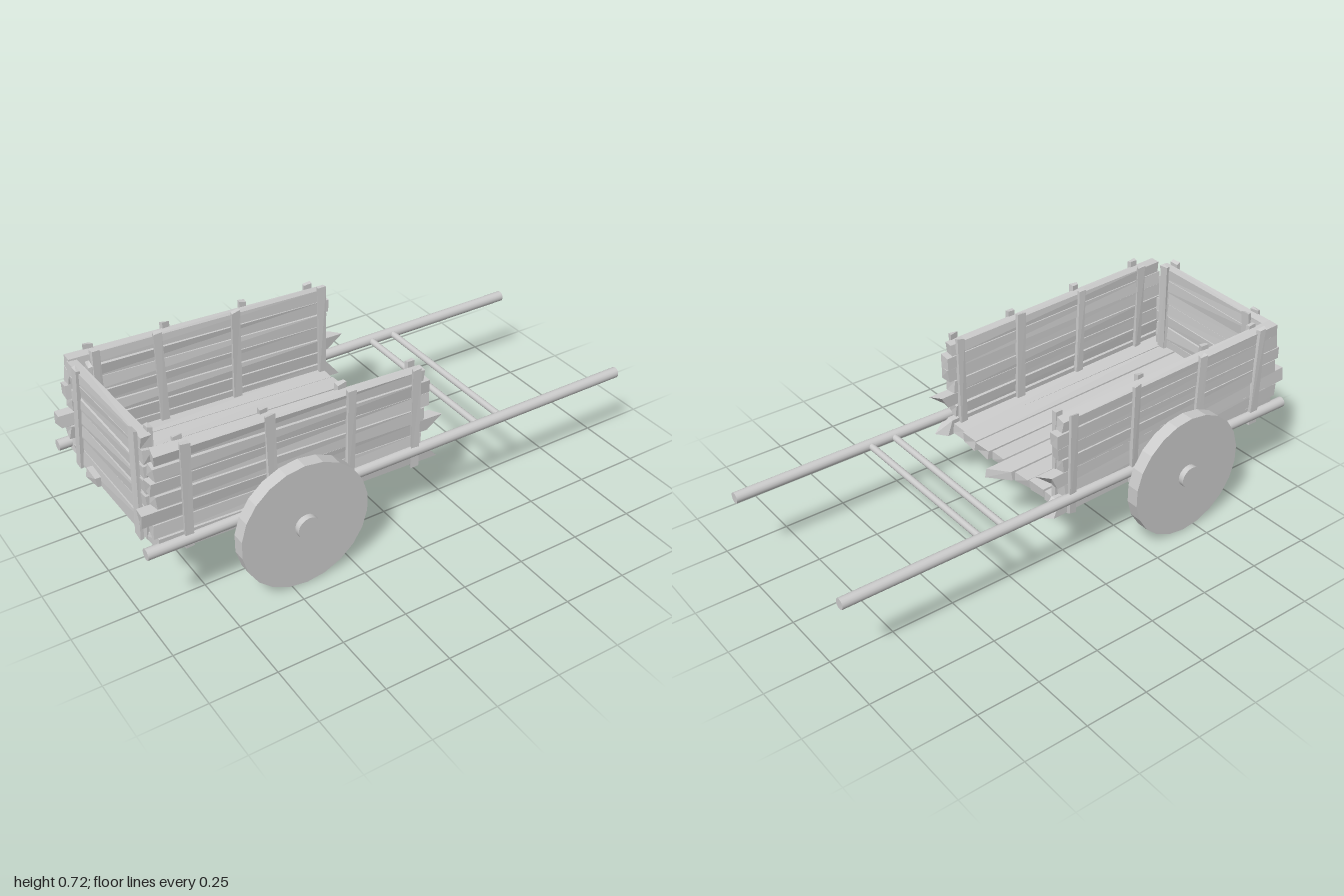
import * as THREE from 'three';

const wood = new THREE.MeshStandardMaterial({ color: 0xcccccc, flatShading: true });
const smooth = new THREE.MeshStandardMaterial({ color: 0xcccccc });

// Small seeded generator, returns -1..1
let seed = 1;
function rnd() {
  seed = (seed * 16807) % 2147483647;
  return (seed / 2147483647) * 2 - 1;
}

// Rough-sawn board: a box with every corner nudged, then optionally moved by a rule
// rule(sx, sy, sz) takes the signs of a corner and returns its extra [x, y, z] offset
function board(parent, name, size, pos, jitter, rule) {
  const geo = new THREE.BoxGeometry(...size);
  const p = geo.attributes.position;
  const nudge = Array.from({ length: 8 }, () => jitter.map((j) => j * rnd()));
  for (let i = 0; i < p.count; i++) {
    const s = [Math.sign(p.getX(i)), Math.sign(p.getY(i)), Math.sign(p.getZ(i))];
    const n = nudge[(s[0] > 0 ? 4 : 0) + (s[1] > 0 ? 2 : 0) + (s[2] > 0 ? 1 : 0)];
    const e = rule ? rule(...s) : [0, 0, 0];
    p.setXYZ(i, p.getX(i) + n[0] + e[0], p.getY(i) + n[1] + e[1], p.getZ(i) + n[2] + e[2]);
  }
  geo.computeVertexNormals();
  const mesh = new THREE.Mesh(geo, wood);
  mesh.name = name;
  mesh.position.set(...pos);
  parent.add(mesh);
  return mesh;
}

// Round pole along x or z
function pole(parent, name, radius, length, axis, pos, sides = 16, material = smooth) {
  const geo = new THREE.CylinderGeometry(radius, radius, length, sides);
  if (axis === 'x') geo.rotateZ(Math.PI / 2);
  else geo.rotateX(Math.PI / 2);
  const mesh = new THREE.Mesh(geo, material);
  mesh.name = name;
  mesh.position.set(...pos);
  parent.add(mesh);
}

const EDGES = [-0.025, 0.045, 0.1, 0.155, 0.212, 0.265, 0.32, 0.368];

// Side wall: stacked planks with two splintered ends, slats on both faces
function sideWall(z, outerX, innerX) {
  const wall = new THREE.Group();
  wall.name = z > 0 ? 'frontSideWall' : 'backSideWall';
  const rightEnd = [0.1, 0.08, 0.11, 0.08, 0.1, 0.1, 0.08];
  const leftEnd = [-0.95, -0.965, -1.0, -0.95, -0.97, -0.955, -0.95];
  for (let i = 0; i < 7; i++) {
    const x0 = leftEnd[i], x1 = rightEnd[i];
    const splinter = i === 2 ? 1 : i === 0 ? -1 : 0;
    const rule = splinter && ((sx, sy, sz) =>
      [sx > 0 && sy === splinter ? (sz > 0 ? 0.06 : 0.025) : 0, 0, 0]);
    const m = board(wall, 'sidePlank', [x1 - x0, EDGES[i + 1] - EDGES[i] - 0.004, 0.042],
      [(x0 + x1) / 2 + 0.43, (EDGES[i] + EDGES[i + 1]) / 2, z],
      [0.006, 0.003, 0.004], rule);
    m.rotation.x = 0.08 * rnd();
  }
  for (const [xs, side] of [[outerX, Math.sign(z)], [innerX, -Math.sign(z)]]) {
    for (const x of xs) {
      const m = board(wall, 'sideSlat', [0.032, 0.41, 0.016],
        [x + 0.43, 0.18, z + side * 0.027], [0.004, 0.006, 0.003]);
      m.rotation.z = 0.035 + 0.02 * rnd();
    }
  }
  return wall;
}

export function createModel() {
  seed = 4711;
  const cart = new THREE.Group();
  cart.name = 'handcart';

  // Wheels, axle, shafts and cross bars
  for (const s of [1, -1]) {
    pole(cart, 'wheel', 0.25, 0.05, 'z', [-0.443, 0.25, s * 0.405], 22, wood);
    pole(cart, 'shaft', 0.021, 2, 'x', [0, 0.327, s * 0.358]);
  }
  pole(cart, 'axle', 0.044, 0.906, 'z', [-0.443, 0.254, 0], 18);
  for (const x of [0.34, 0.442]) pole(cart, 'crossBar', 0.013, 0.7, 'z', [x, 0.327, 0], 12);

  // Body, tipped slightly forward
  const body = new THREE.Group();
  body.name = 'cartBody';
  body.position.set(-0.43, 0.304, 0);
  body.rotation.z = -0.036;
  cart.add(body);

  // Floor planks, one with a splintered end
  const floorEnd = [0.08, 0.085, 0.09, 0.11, 0.08, 0.095, 0.1, 0.095];
  for (let i = 0; i < 8; i++) {
    const x0 = i === 2 ? -0.975 : -0.95, x1 = floorEnd[i];
    const rule = i === 3 && ((sx, sy, sz) => [sx > 0 && sz > 0 ? 0.06 : 0, 0, 0]);
    const m = board(body, 'floorPlank', [x1 - x0, 0.038, 0.077],
      [(x0 + x1) / 2 + 0.43, 0.003 * rnd(), -0.28 + i * 0.08], [0.006, 0.003, 0.002], rule);
    m.rotation.x = 0.06 * rnd();
  }

  // Side walls
  body.add(sideWall(0.332, [-0.845, -0.535, -0.225, 0.045], [-0.84, -0.53, -0.23, 0.05]));
  body.add(sideWall(-0.33, [-0.85, -0.55, -0.24, 0.045], [-0.85, -0.61, -0.3, 0.07]));

  // Tail wall with slats inside and outside
  const tail = new THREE.Group();
  tail.name = 'tailWall';
  tail.position.set(-0.505, 0, 0);
  tail.rotation.x = -0.036;
  body.add(tail);
  for (let i = 0; i < 7; i++) {
    board(tail, 'tailPlank', [0.036, EDGES[i + 1] - EDGES[i] - 0.004, 0.57],
      [0, (EDGES[i] + EDGES[i + 1]) / 2 + 0.005, -0.005 + 0.008 * rnd()], [0.004, 0.003, 0.006]);
  }
  for (const [z, tilt] of [[0.235, 0.03], [-0.235, 0.1]]) {
    for (const s of [1, -1]) {
      const m = board(tail, 'tailSlat', [0.016, 0.42, 0.036],
        [s * 0.025, 0.178, z], [0.003, 0.004, 0.004]);
      m.rotation.x = tilt;
    }
  }
  return cart;
}
